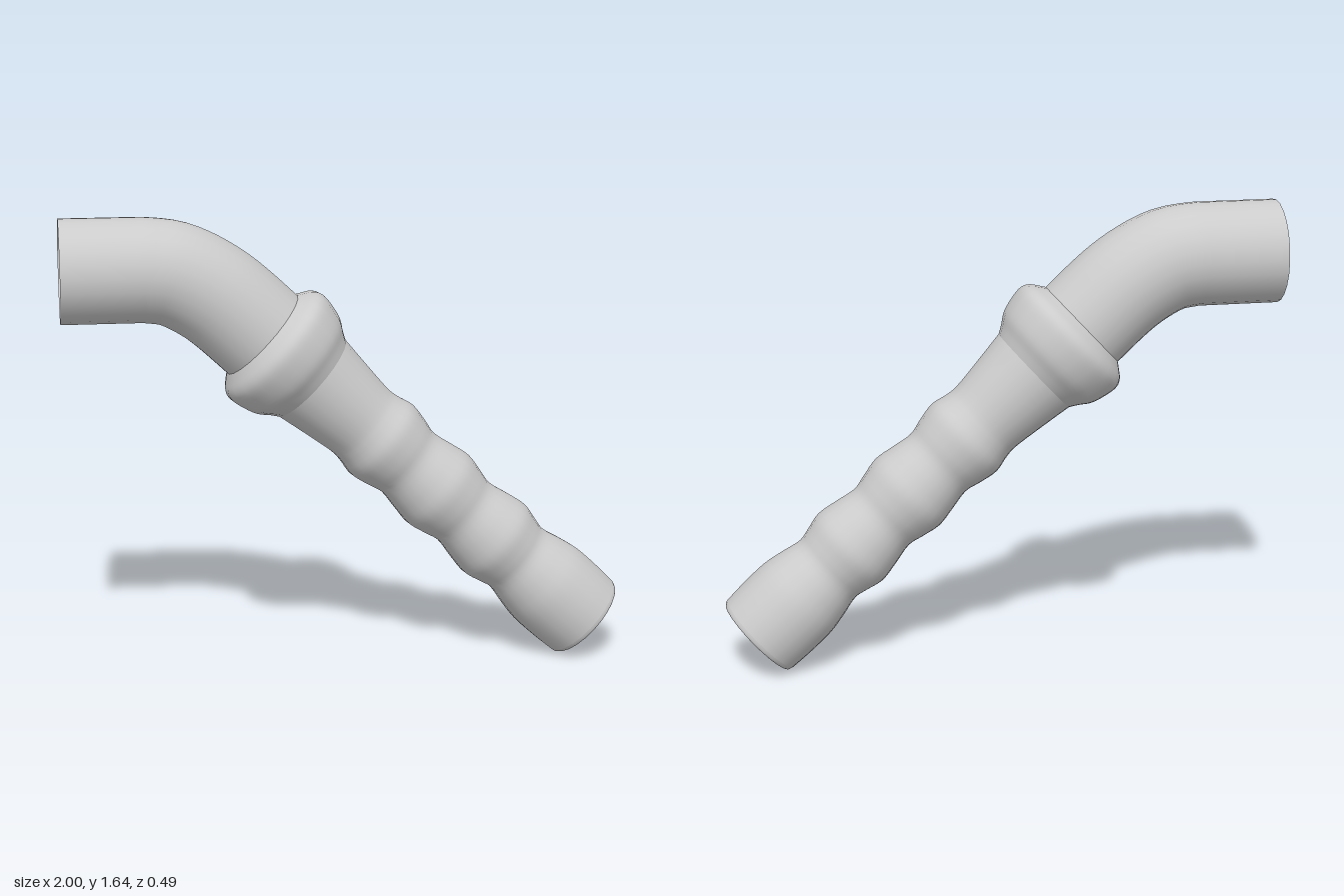
import * as THREE from 'three';

const SIDES = 24;
const material = new THREE.MeshStandardMaterial({ color: 0xcccccc, side: THREE.DoubleSide });

function addPart(parent, name, geometry) {
  const mesh = new THREE.Mesh(geometry, material);
  mesh.name = name;
  parent.add(mesh);
}

// Smooth lathe through [distance along axis, radius] pairs
function turned(profile, steps) {
  const curve = new THREE.SplineCurve(profile.map(([t, r]) => new THREE.Vector2(r, t)));
  return new THREE.LatheGeometry(curve.getPoints(steps), SIDES);
}

export function createModel() {
  const model = new THREE.Group();
  model.name = 'bentHoseHandle';

  // Upper pipe: straight stub, then a bend down into the collar
  const path = new THREE.CurvePath();
  const bendStart = new THREE.Vector3(-0.7, 1.46, 0);
  path.add(new THREE.LineCurve3(new THREE.Vector3(-1, 1.46, 0), bendStart));
  path.add(new THREE.CatmullRomCurve3([
    bendStart,
    new THREE.Vector3(-0.6, 1.443, 0),
    new THREE.Vector3(-0.46, 1.367, 0),
    new THREE.Vector3(-0.285, 1.212, 0),
    new THREE.Vector3(-0.25, 1.179, 0),
  ]));
  addPart(model, 'bentPipe', new THREE.TubeGeometry(path, 32, 0.185, SIDES));

  // Straight sloping section, its axis running from the lower mouth up to the bend
  const lower = new THREE.Group();
  lower.name = 'slopingSection';
  lower.position.set(0.888, 0.125, 0);
  lower.rotation.z = THREE.MathUtils.degToRad(47.2);
  model.add(lower);

  // Grip with three soft bulges, flaring toward the mouth and the collar
  addPart(lower, 'ribbedGrip', turned([
    [0.015, 0.169], [0.1, 0.173], [0.2, 0.172], [0.28, 0.158],
    [0.35, 0.143], [0.4, 0.152], [0.465, 0.166], [0.54, 0.155],
    [0.62, 0.14], [0.68, 0.152], [0.75, 0.165], [0.82, 0.155],
    [0.9, 0.142], [0.96, 0.155], [1.03, 0.167], [1.09, 0.155],
    [1.14, 0.151], [1.25, 0.164], [1.375, 0.181],
  ], 72));

  // Collar swelling around the joint
  addPart(lower, 'collar', turned([
    [1.375, 0.181], [1.405, 0.199], [1.445, 0.226], [1.5, 0.242],
    [1.545, 0.247], [1.575, 0.234], [1.598, 0.205], [1.615, 0.18],
  ], 24));

  // Rounded lip and inner wall of the mouth
  addPart(lower, 'mouthLip', turned([
    [0.36, 0.132], [0.2, 0.145], [0.03, 0.151], [0.004, 0.154],
    [-0.002, 0.16], [0.004, 0.166], [0.015, 0.169],
  ], 24));

  return model;
}
